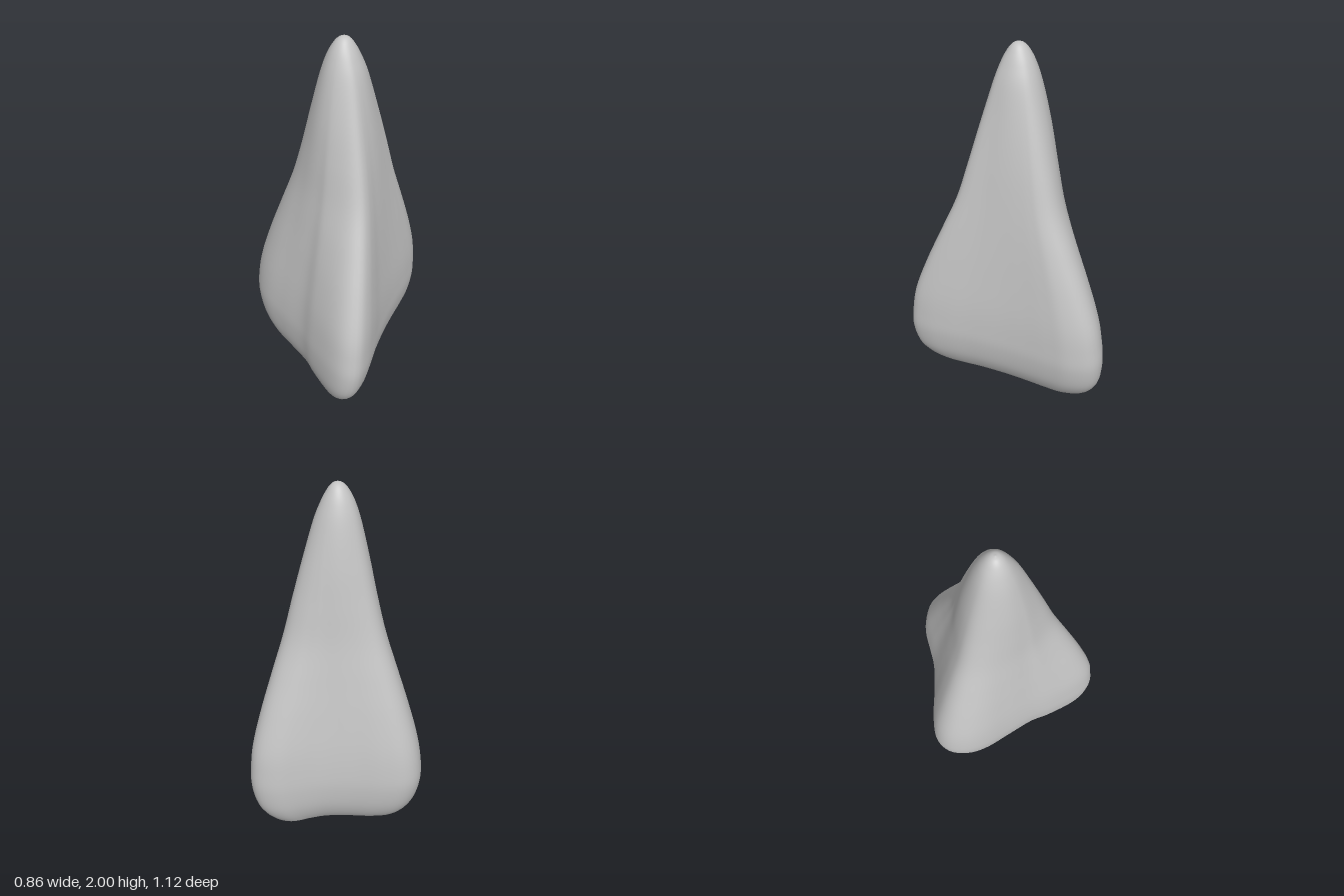
import * as THREE from 'three';

const AXIS = 0.1; // x of the vertical axis through the tip
const SEG = 120, RINGS = 110;

// widest horizontal outline: three rounded lobes (x, z)
const OUTLINE = [
  [-0.43, -0.03], [-0.4, -0.125], [-0.3, -0.2], [-0.15, -0.275], [0, -0.36], [0.1, -0.445],
  [0.2, -0.53], [0.305, -0.56], [0.38, -0.52], [0.42, -0.41], [0.42, -0.3], [0.41, -0.15],
  [0.405, 0], [0.41, 0.18], [0.425, 0.33], [0.43, 0.44], [0.41, 0.53], [0.345, 0.56],
  [0.25, 0.53], [0.1, 0.43], [0, 0.345], [-0.15, 0.255], [-0.3, 0.165], [-0.39, 0.075],
];

// height, reach to -x, reach to +x, reach to +-z, lobe strength
const LEVELS = [
  [0, 0, 0, 0, 1], [0.01, 0.08, 0.06, 0.09, 1], [0.03, 0.23, 0.14, 0.24, 1],
  [0.05, 0.36, 0.2, 0.42, 1], [0.1, 0.44, 0.25, 0.49, 1], [0.2, 0.5, 0.3, 0.543, 1],
  [0.33, 0.53, 0.326, 0.56, 1], [0.45, 0.525, 0.328, 0.55, 1], [0.6, 0.495, 0.32, 0.52, 1],
  [0.8, 0.43, 0.297, 0.45, 0.95], [1, 0.355, 0.27, 0.37, 0.85], [1.2, 0.28, 0.24, 0.292, 0.7],
  [1.4, 0.222, 0.207, 0.238, 0.55], [1.6, 0.172, 0.167, 0.185, 0.38], [1.8, 0.12, 0.12, 0.125, 0.2],
  [1.9, 0.086, 0.083, 0.087, 0.1], [1.96, 0.054, 0.052, 0.054, 0], [1.99, 0.027, 0.027, 0.027, 0],
  [2, 0, 0, 0, 0],
];

const spline = (points, closed) => new THREE.CatmullRomCurve3(
  points.map(p => new THREE.Vector3(...p)), closed, 'catmullrom', 0.5);

function lobedBody() {
  // outline scaled to unit reach, so each level can stretch it
  const unit = spline(OUTLINE.map(([x, z]) => [x, 0, z]), true)
    .getSpacedPoints(SEG).slice(0, SEG).map(p => {
      const dx = p.x - AXIS;
      return new THREE.Vector2(dx / (dx < 0 ? 0.53 : 0.33), p.z / 0.56);
    });
  const round = unit.map(p => p.clone().normalize());
  const reach = spline(LEVELS.map(l => [l[1], l[2], l[3]]), false);
  const rise = spline(LEVELS.map(l => [l[0], l[4], 0]), false);

  // stacked rings, from the underside to the tip
  const position = [AXIS, 0, 0], index = [];
  for (let i = 1; i < RINGS; i++) {
    const t = i / RINGS, r = reach.getPoint(t), { x: y, y: lobe } = rise.getPoint(t);
    for (let j = 0; j < SEG; j++) {
      const p = round[j].clone().lerp(unit[j], lobe);
      position.push(AXIS + p.x * (p.x < 0 ? r.x : r.y), Math.max(y, 0), p.y * r.z);
    }
  }
  const tip = position.length / 3;
  position.push(AXIS, 2, 0);

  for (let j = 0; j < SEG; j++) {
    const k = (j + 1) % SEG;
    index.push(0, 1 + j, 1 + k);
    for (let i = 0; i < RINGS - 2; i++) {
      const a = 1 + i * SEG + j, b = 1 + i * SEG + k;
      index.push(a, a + SEG, b, b, a + SEG, b + SEG);
    }
    const last = 1 + (RINGS - 2) * SEG;
    index.push(last + j, tip, last + k);
  }
  const geometry = new THREE.BufferGeometry();
  geometry.setAttribute('position', new THREE.Float32BufferAttribute(position, 3));
  geometry.setIndex(index);
  geometry.computeVertexNormals();
  return geometry;
}

export function createModel() {
  const group = new THREE.Group();
  const grey = new THREE.MeshStandardMaterial({ color: 0xc4c4c4 });
  grey.name = 'light grey';
  const body = new THREE.Mesh(lobedBody(), grey);
  body.name = 'body';
  group.add(body);
  return group;
}
